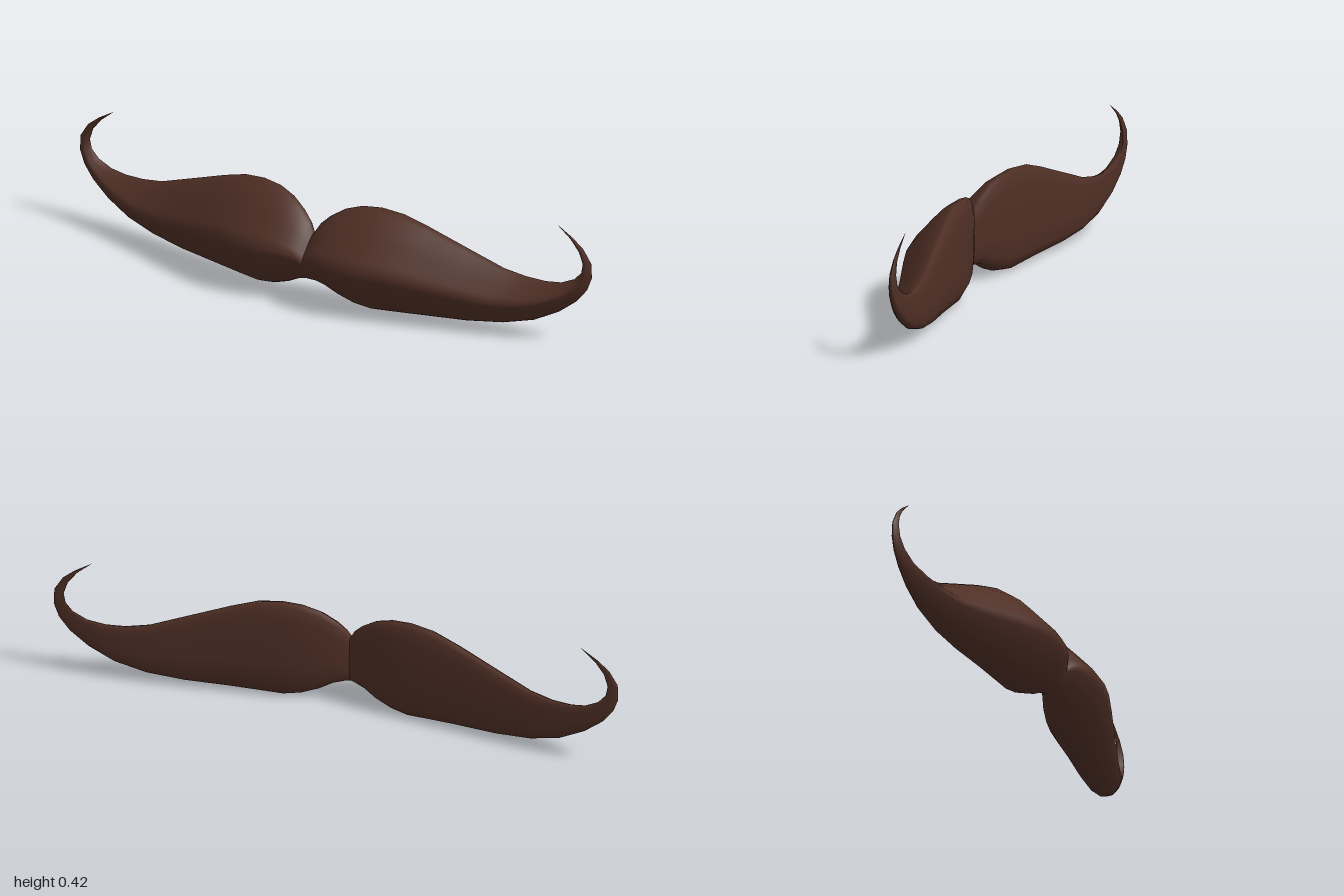
import * as THREE from 'three';

// Stations from the middle to the tip: upper edge x, y; lower edge x, y; back z, front z
const STATIONS = [
  [0, 0.235, 0, 0.07, 0.0, 0.09],
  [0.02, 0.268, 0.02, 0.068, -0.012, 0.102],
  [0.05, 0.297, 0.055, 0.058, -0.025, 0.115],
  [0.1, 0.33, 0.1, 0.034, -0.042, 0.127],
  [0.16, 0.35, 0.16, 0.012, -0.057, 0.134],
  [0.23, 0.356, 0.22, 0.002, -0.068, 0.131],
  [0.31, 0.347, 0.3, 0.006, -0.077, 0.114],
  [0.4, 0.318, 0.4, 0.011, -0.087, 0.085],
  [0.55, 0.262, 0.55, 0.017, -0.104, 0.035],
  [0.67, 0.217, 0.68, 0.032, -0.119, -0.005],
  [0.75, 0.202, 0.79, 0.061, -0.128, -0.036],
  [0.82, 0.199, 0.88, 0.107, -0.132, -0.064],
  [0.88, 0.207, 0.945, 0.157, -0.133, -0.088],
  [0.93, 0.23, 0.982, 0.203, -0.133, -0.101],
  [0.957, 0.259, 1.0, 0.25, -0.132, -0.108],
  [0.964, 0.293, 0.998, 0.302, -0.13, -0.112],
  [0.95, 0.335, 0.968, 0.349, -0.127, -0.116],
  [0.918, 0.375, 0.925, 0.383, -0.125, -0.119],
  [0.866, 0.418, 0.866, 0.418, -0.122, -0.122],
];

// Cross-section: u runs lower edge to upper edge, v runs back to front
const SECTION = [
  [1, 0.1], [0.975, 0.22], [0.9, 0.42], [0.79, 0.61], [0.62, 0.89], [0.53, 1], [0.44, 0.97],
  [0.27, 0.79], [0.12, 0.58], [0.03, 0.42], [0, 0.31], [0.025, 0.14],
  [0.13, 0.03], [0.35, 0], [0.6, 0], [0.82, 0.005], [0.95, 0.04],
];

// One half: the section lofted through the stations, side = 1 or -1
function halfGeometry(side) {
  const n = SECTION.length;
  const positions = [];
  const index = [];
  for (const [ux, uy, lx, ly, back, front] of STATIONS) {
    for (const [u, v] of SECTION) {
      positions.push(side * (lx + (ux - lx) * u), ly + (uy - ly) * u, back + (front - back) * v);
    }
  }
  for (let i = 0; i < STATIONS.length - 1; i++) {
    for (let j = 0; j < n; j++) {
      const k = (j + 1) % n;
      const a = i * n + j, b = i * n + k, c = a + n, d = b + n;
      if (side > 0) index.push(a, b, c, b, d, c);
      else index.push(a, c, b, b, c, d);
    }
  }
  const geometry = new THREE.BufferGeometry();
  geometry.setAttribute('position', new THREE.Float32BufferAttribute(positions, 3));
  geometry.setIndex(index);
  geometry.computeVertexNormals();
  return geometry;
}

export function createModel() {
  const group = new THREE.Group();
  group.name = 'moustache';
  const hair = new THREE.MeshStandardMaterial({ color: 0x4f2f25 });
  hair.name = 'dark brown hair';

  // Two mirrored halves meeting in a crease at the middle
  for (const [name, side] of [['leftHalf', 1], ['rightHalf', -1]]) {
    const half = new THREE.Mesh(halfGeometry(side), hair);
    half.name = name;
    group.add(half);
  }
  return group;
}
